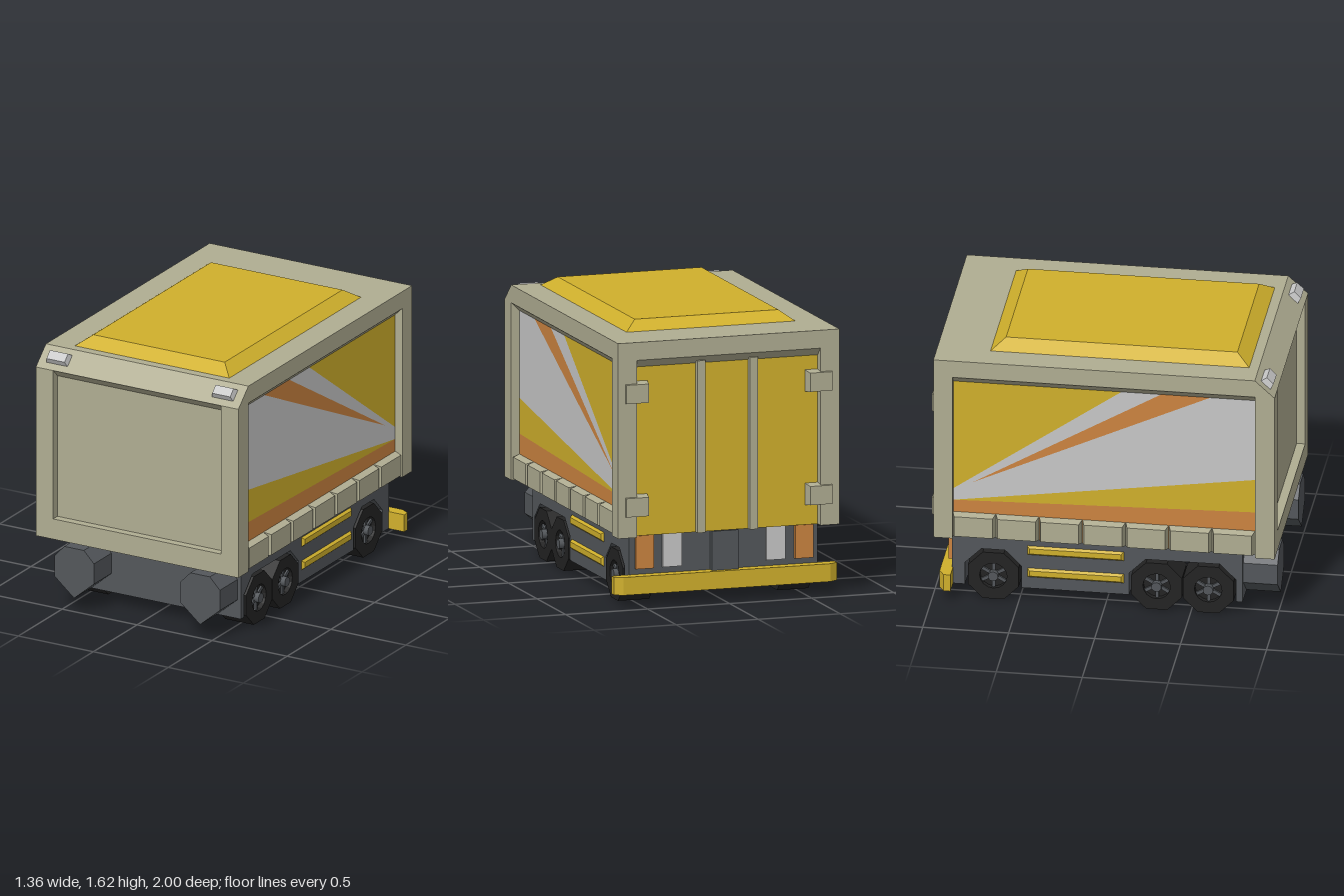
import * as THREE from 'three';

const mat = (name, color, side = THREE.FrontSide) =>
  Object.assign(new THREE.MeshStandardMaterial({ color, side }), { name });

export function createModel() {
  const root = new THREE.Group();
  root.name = 'cargoTrailer';
  const D = THREE.DoubleSide;
  const M = {
    beige: mat('beige', 0xb0ad92, D),
    yellow: mat('yellow', 0xd0b02c, D),
    orange: mat('orange', 0xcc8440, D),
    silver: mat('silver', 0xc8c8c8, D),
    grey: mat('chassisGrey', 0x53575b),
    rubber: mat('rubber', 0x232323),
  };

  const add = (name, geo, material, x = 0, y = 0, z = 0, parent = root) => {
    const m = new THREE.Mesh(geo, material);
    m.name = name;
    m.position.set(x, y, z);
    parent.add(m);
    return m;
  };
  // Box given by its limits on each axis
  const block = (name, material, x0, x1, y0, y1, z0, z1) =>
    add(name, new THREE.BoxGeometry(x1 - x0, y1 - y0, z1 - z0), material,
      (x0 + x1) / 2, (y0 + y1) / 2, (z0 + z1) / 2);
  // Box whose +z face is inset; base sits on z = 0
  const frustum = (w, h, d, ix, iy) => {
    const g = new THREE.BoxGeometry(w, h, d).translate(0, 0, d / 2);
    const p = g.attributes.position;
    for (let i = 0; i < p.count; i++) {
      if (p.getZ(i) < d / 2) continue;
      p.setX(i, p.getX(i) - Math.sign(p.getX(i)) * ix);
      p.setY(i, p.getY(i) - Math.sign(p.getY(i)) * iy);
    }
    g.computeVertexNormals();
    return g;
  };
  const shape = pts => new THREE.Shape(pts.map(p => new THREE.Vector2(p[0], p[1])));
  const extrude = (s, depth) =>
    new THREE.ExtrudeGeometry(s, { depth, bevelEnabled: false, curveSegments: 8 }).translate(0, 0, -depth / 2);
  // Profile in (z, y), extruded along x
  const across = (pts, width) => extrude(shape(pts), width).rotateY(-Math.PI / 2);

  // Body frame: roof slab with chamfered front, corner posts, front sill
  add('roof', across([[1, 1.46], [0.885, 1.565], [-0.985, 1.565], [-0.985, 1.46]], 1.35), M.beige);
  for (const s of [-1, 1]) {
    const [a, b] = s > 0 ? [0.56, 0.675] : [-0.675, -0.56];
    block('frontPost', M.beige, a, b, 0.42, 1.46, 0.885, 1);
    block('rearPost', M.beige, a, b, 0.42, 1.46, -0.985, -0.875);
  }
  block('frontSill', M.beige, -0.56, 0.56, 0.42, 0.545, 0.885, 1);

  // Sloped soffits over the recessed panels
  const soffit = [[0, 0], [-0.05, 0], [-0.05, -0.05]];
  add('frontSoffit', across(soffit, 1.12), M.beige, 0, 1.461, 0.999);
  add('rearSoffit', across(soffit, 1.12), M.beige, 0, 1.461, -0.984).rotation.y = Math.PI;
  for (const s of [-1, 1])
    add('sideSoffit', across(soffit, 1.76), M.beige, s * 0.674, 1.461, 0.005).rotation.y = s * Math.PI / 2;

  // Front panel and rear doors
  block('frontPanel', M.beige, -0.56, 0.56, 0.545, 1.46, 0.942, 0.95);
  block('rearDoors', M.yellow, -0.56, 0.56, 0.42, 1.46, -0.935, -0.927);
  for (const s of [-1, 1]) {
    block('doorBar', M.beige, s * 0.16 - 0.025, s * 0.16 + 0.025, 0.42, 1.43, -0.97, -0.93);
    for (const y of [0.6, 1.265])
      add('hinge', frustum(0.16, 0.13, 0.07, 0.012, 0.01), M.beige, s * 0.56, y, -0.93).rotation.y = Math.PI;
  }

  // Painted side panels, in (z, y), fitted edge to edge
  const paint = [
    ['silverField', M.silver, [[0.885, 0.9], [0.885, 1.46], [0.615, 1.46], [0.615, 1.41], [-0.765, 0.765],
      [0.33, 1.41], [0.33, 1.46], [0.1, 1.46], [0.1, 1.41], [-0.875, 0.72], [-0.875, 0.645]]],
    ['upperYellow', M.yellow, [[0.1, 1.41], [0.1, 1.46], [-0.875, 1.46], [-0.875, 0.72]]],
    ['upperOrange', M.orange, [[0.615, 1.41], [0.615, 1.46], [0.33, 1.46], [0.33, 1.41], [-0.765, 0.765]]],
    ['lowerYellow', M.yellow, [[0.885, 0.9], [-0.875, 0.645], [0.885, 0.69]]],
    ['lowerOrange', M.orange, [[0.885, 0.69], [-0.875, 0.645], [-0.875, 0.42], [0.885, 0.42]]],
  ];
  for (const s of [-1, 1]) {
    for (const [name, m, pts] of paint) {
      // Mirrored order of rotation keeps the outer face forward on both sides
      const g = new THREE.ShapeGeometry(shape(pts.map(p => [-s * p[0], p[1]])));
      add(name, g.rotateY(s * Math.PI / 2), m, s * 0.625);
    }
    // Row of bevelled sill blocks
    for (let i = 0; i < 7; i++)
      add('sillBlock', frustum(0.25, 0.15, 0.045, 0.014, 0.012), M.beige, s * 0.625, 0.495, 0.755 - i * 0.2515)
        .rotation.y = s * Math.PI / 2;
    // Side steps
    for (const y of [0.182, 0.325])
      add('sideStep', frustum(0.57, 0.065, 0.02, 0.018, 0.016), M.yellow, s * 0.57, y, -0.172)
        .rotation.y = s * Math.PI / 2;
    // Roof marker lamps on the chamfer
    const lamp = add('markerLamp', frustum(0.14, 0.075, 0.035, 0.01, 0.01), M.silver, s * 0.552, 1.514, 0.941);
    lamp.rotation.x = -Math.PI / 4;
  }

  // Roof hatch
  add('roofHatch', frustum(1.03, 1.505, 0.057, 0.077, 0.08), M.yellow, 0, 1.565, 0.077).rotation.x = -Math.PI / 2;

  // Chassis: two blocks with wheel tunnels, joined by side plates
  const chassis = (z0, z1, a0, a1) => across([[z0, 0.08], [z0, 0.42], [z1, 0.42], [z1, 0.08],
    [a1, 0.08], [a1, 0.22], [a1 + 0.095, 0.315], [a0 - 0.095, 0.315], [a0, 0.22], [a0, 0.08]], 1.15);
  add('frontChassis', chassis(0.8, 0.1, 0.762, 0.14), M.grey);
  add('rearChassis', chassis(-0.44, -0.89, -0.487, -0.815), M.grey);
  for (const s of [-1, 1])
    block('chassisSide', M.grey, s * 0.56 - 0.015, s * 0.56 + 0.015, 0.08, 0.42, -0.44, 0.1);

  // Faceted front tanks
  const tank = shape([[-0.065, 0.39], [-0.132, 0.32], [-0.132, 0.195], [0, 0.083], [0.132, 0.195], [0.132, 0.32], [0.065, 0.39]]);
  for (const s of [-1, 1]) add('frontTank', extrude(tank, 0.2), M.grey, s * 0.42, 0, 0.9);

  // Rear lamps, centre box and bumper
  for (const s of [-1, 1]) {
    block('orangeLamp', M.orange, s * 0.485 - 0.055, s * 0.485 + 0.055, 0.22, 0.415, -0.915, -0.88);
    block('whiteLamp', M.silver, s * 0.315 - 0.058, s * 0.315 + 0.058, 0.22, 0.415, -0.905, -0.88);
  }
  block('rearCentreBox', M.grey, -0.08, 0.08, 0.18, 0.415, -0.925, -0.88);
  const plan = shape([[-0.68, 0.885], [0.68, 0.885], [0.68, 0.925], [0.63, 0.955], [-0.63, 0.955], [-0.68, 0.925]]);
  add('bumper', extrude(plan, 0.105).rotateX(-Math.PI / 2), M.yellow, 0, 0.1325, 0);

  // Wheels: octagonal tyre, round recess, six spokes and a hub
  const octagon = () => shape(Array.from({ length: 8 }, (_, i) => {
    const a = (i + 0.5) * Math.PI / 4;
    return [0.16 * Math.cos(a), 0.16 * Math.sin(a)];
  }));
  const tyre = extrude(octagon(), 0.16);
  const ringShape = octagon();
  ringShape.holes.push(new THREE.Path().absarc(0, 0, 0.08, 0, Math.PI * 2, true));
  const ring = extrude(ringShape, 0.03);
  const hub = new THREE.CylinderGeometry(0.03, 0.03, 0.035, 10).rotateX(Math.PI / 2);
  const spoke = new THREE.BoxGeometry(0.02, 0.065, 0.012).translate(0, 0.048, 0);
  for (const s of [-1, 1]) for (const z of [0.6, 0.3, -0.65]) {
    const wheel = new THREE.Group();
    wheel.name = 'wheel';
    wheel.position.set(s * 0.39, 0.148, z);
    wheel.rotation.y = s * Math.PI / 2;
    root.add(wheel);
    add('tyre', tyre, M.rubber, 0, 0, 0.08, wheel);
    add('tyreRing', ring, M.rubber, 0, 0, 0.175, wheel);
    add('hub', hub, M.grey, 0, 0, 0.185, wheel);
    for (let i = 0; i < 6; i++)
      add('spoke', spoke, M.grey, 0, 0, 0.168, wheel).rotation.z = i * Math.PI / 3;
  }
  return root;
}
